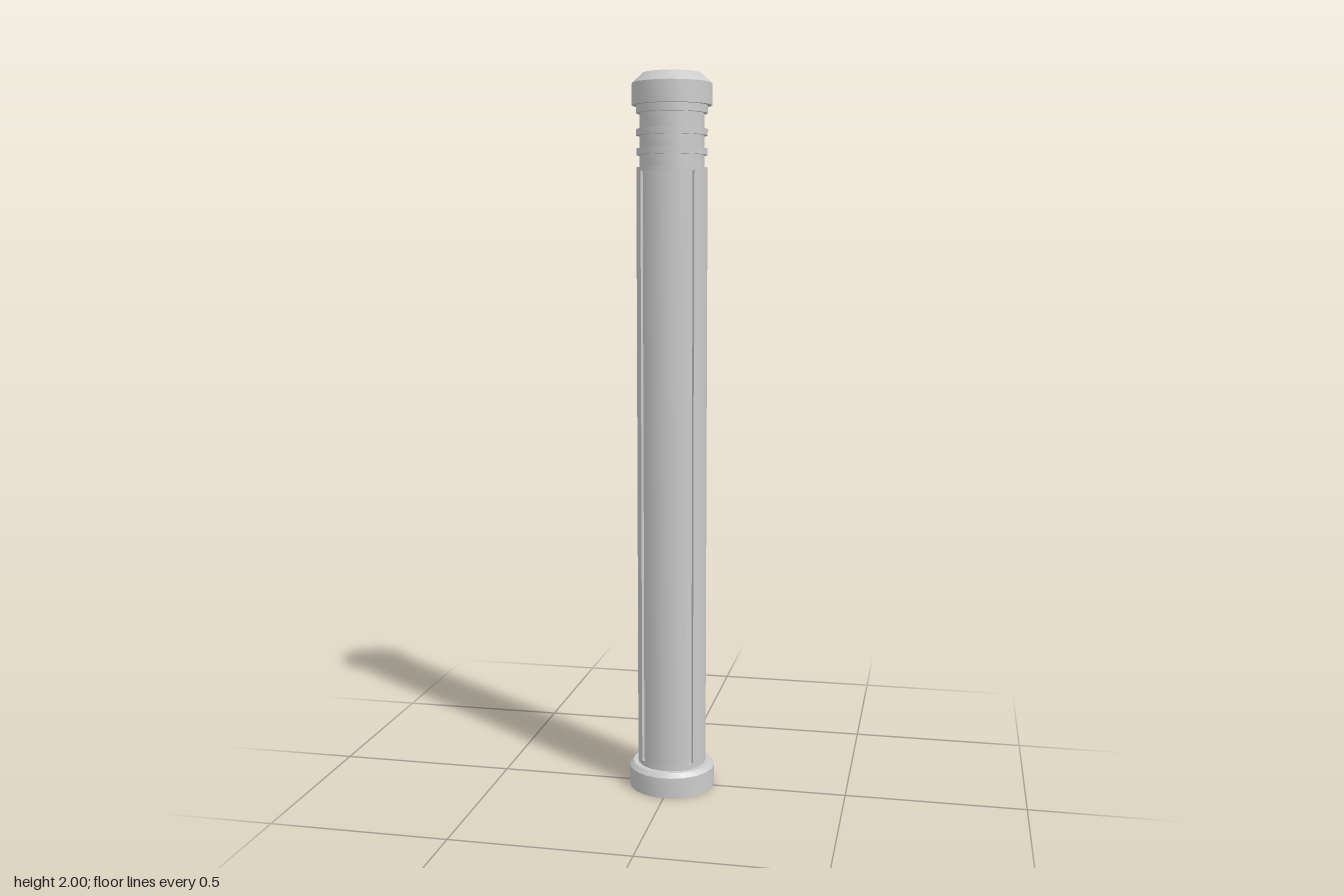
import * as THREE from 'three';
import { toCreasedNormals } from 'three/addons/utils/BufferGeometryUtils.js';

const SIDES = 20;
const SHAFT_R = 0.097;
const GROOVE_R = 0.09;

export function createModel() {
  const model = new THREE.Group();
  const material = new THREE.MeshStandardMaterial({ color: 0xcccccc });

  function add(name, geometry) {
    const mesh = new THREE.Mesh(toCreasedNormals(geometry, 0.5), material);
    mesh.name = name;
    model.add(mesh);
  }

  // Turned part from [radius, height] pairs, with flats facing the axes
  function turned(name, profile) {
    const points = profile.map(([r, y]) => new THREE.Vector2(r, y));
    add(name, new THREE.LatheGeometry(points, SIDES, Math.PI / SIDES));
  }

  // Foot with a chamfered upper edge
  turned('base', [[0, 0], [0.122, 0], [0.122, 0.058], [0.111, 0.07], [0, 0.07]]);

  // Plain collars closing the shaft grooves at both ends
  turned('lowerCollar', [[0, 0.065], [SHAFT_R, 0.065], [SHAFT_R, 0.085], [0, 0.085]]);
  turned('upperCollar', [[0, 1.74], [SHAFT_R, 1.74], [SHAFT_R, 1.75], [0, 1.75]]);

  // Long shaft with a narrow groove on each diagonal
  const outline = [];
  const polar = (r, a) => outline.push(new THREE.Vector2(r * Math.cos(a), r * Math.sin(a)));
  for (let i = 0; i < SIDES; i++) {
    const a = ((i + 0.5) / SIDES) * Math.PI * 2;
    if (i % 5 === 2) {
      polar(SHAFT_R, a - 0.075);
      polar(GROOVE_R, a - 0.075);
      polar(GROOVE_R, a + 0.075);
      polar(SHAFT_R, a + 0.075);
    } else {
      polar(SHAFT_R, a);
    }
  }
  const shaft = new THREE.ExtrudeGeometry(new THREE.Shape(outline), { depth: 1.655, bevelEnabled: false });
  shaft.rotateX(-Math.PI / 2);
  shaft.translate(0, 0.085, 0);
  add('shaft', shaft);

  // Stepped neck with raised rings
  const neck = [[0.088, 1.745]];
  for (const [bottom, top] of [[1.783, 1.8], [1.835, 1.852], [1.894, 1.918]]) {
    neck.push([0.088, bottom], [SHAFT_R, bottom], [SHAFT_R, top], [0.088, top]);
  }
  turned('neck', neck);

  // Cap with a wide chamfer and flat top
  turned('cap', [[0, 1.915], [0.109, 1.915], [0.109, 1.973], [0.08, 2], [0, 2]]);

  return model;
}
